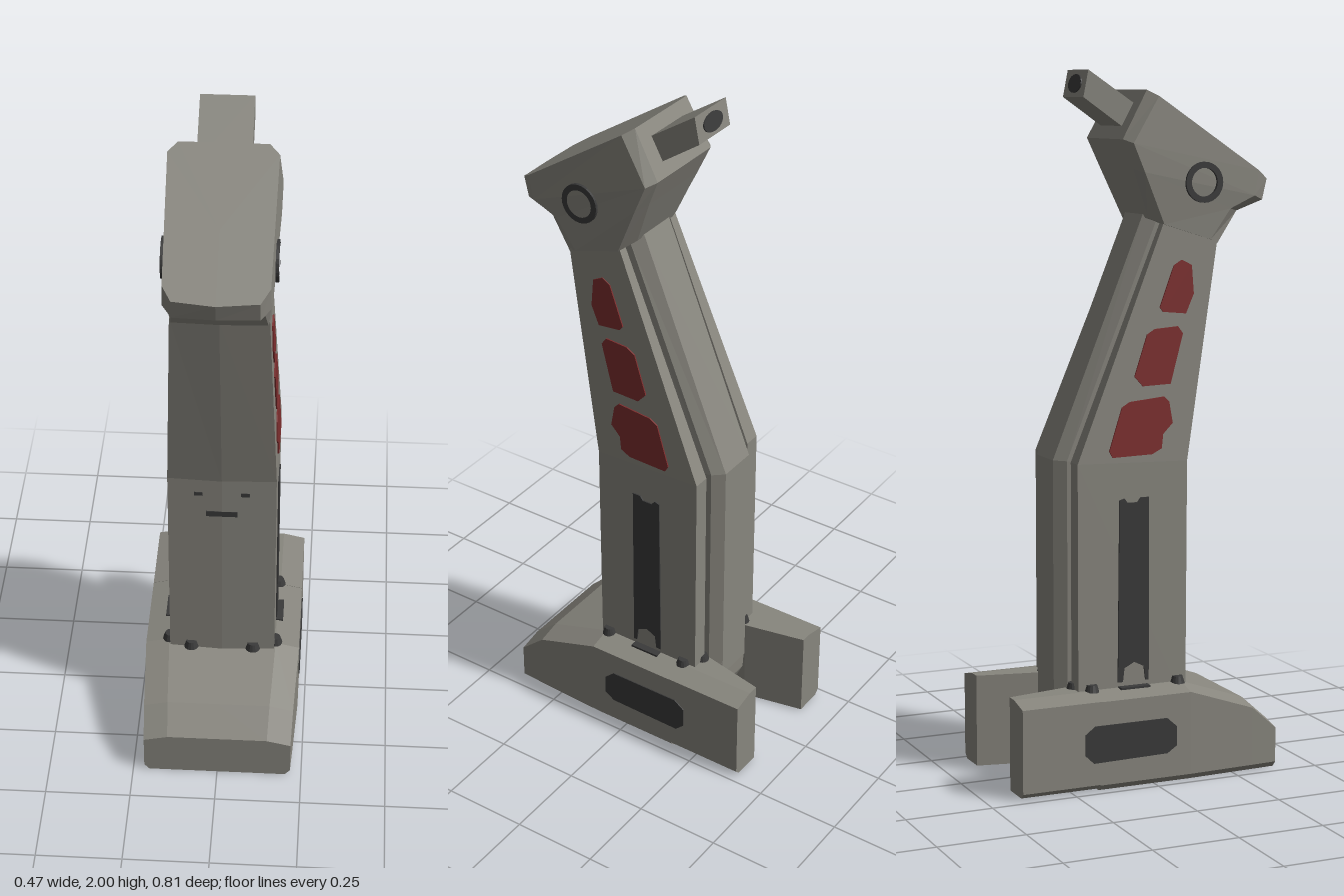
import * as THREE from 'three';

const material = (name, color, extra = {}) => {
  const m = new THREE.MeshStandardMaterial({ color, flatShading: true, ...extra });
  m.name = name;
  return m;
};

// Skin a stack of matching rings and cap both ends, always facing outward.
function loft(rings) {
  const n = rings[0].length, tris = [];
  for (let r = 0; r < rings.length - 1; r++) {
    for (let i = 0; i < n; i++) {
      const j = (i + 1) % n;
      const a = rings[r][i], b = rings[r][j], c = rings[r + 1][j], d = rings[r + 1][i];
      tris.push([a, b, c], [a, c, d]);
    }
  }
  [rings[0], rings[rings.length - 1]].forEach((ring, end) => {
    const mid = [0, 1, 2].map(k => ring.reduce((s, p) => s + p[k], 0) / n);
    for (let i = 0; i < n; i++) {
      const a = ring[i], b = ring[(i + 1) % n];
      tris.push(end ? [mid, a, b] : [mid, b, a]);
    }
  });
  let volume = 0;
  for (const [a, b, c] of tris) {
    volume += a[0] * (b[1] * c[2] - b[2] * c[1]) + a[1] * (b[2] * c[0] - b[0] * c[2])
      + a[2] * (b[0] * c[1] - b[1] * c[0]);
  }
  if (volume < 0) tris.forEach(t => t.reverse());
  const geo = new THREE.BufferGeometry();
  geo.setAttribute('position', new THREE.Float32BufferAttribute(tris.flat(2), 3));
  geo.computeVertexNormals();
  return geo;
}

// Complete a half ring that runs from the back round to the front centre.
const mirrorRing = half => [...half, ...half.filter(p => p[0] > 0).map(([x, y, z]) => [-x, y, z]).reverse()];

// Extrude a [z, y] outline sideways, starting at the surface x = faceX(y).
function sidePlate(points, side, depth, faceX, hole) {
  const shape = new THREE.Shape(points.map(([z, y]) => new THREE.Vector2(-side * z, y)));
  if (hole) shape.holes.push(new THREE.Path(hole.map(([z, y]) => new THREE.Vector2(-side * z, y))));
  const geo = new THREE.ExtrudeGeometry(shape, { depth, bevelEnabled: false });
  geo.rotateY(side * Math.PI / 2);
  const p = geo.attributes.position;
  for (let i = 0; i < p.count; i++) p.setX(i, p.getX(i) + side * faceX(p.getY(i)));
  geo.computeVertexNormals();
  return geo;
}

const circle = (z, y, r) => Array.from({ length: 28 }, (_, i) => {
  const a = i / 28 * Math.PI * 2;
  return [z + r * Math.cos(a), y + r * Math.sin(a)];
});

export function createModel() {
  const model = new THREE.Group();
  model.name = 'uprightDevice';
  const grey = material('warm grey', 0x88867e);
  const red = material('dark red', 0x7c2d2d);
  const dark = material('charcoal', 0x3a3a3a);
  const add = (name, geo, mat) => {
    const mesh = new THREE.Mesh(geo, mat);
    mesh.name = name;
    model.add(mesh);
    return mesh;
  };

  // Forked base: a sloping front block and two legs running back
  const blockRing = (z, w, top) => mirrorRing([
    [w - 0.015, 0.003, z], [w, 0.02, z], [w, top - 0.016, z], [w - 0.07, top, z], [0, top, z], 
  ]);
  add('baseFront', loft([
    blockRing(0.387, 0.217, 0.137), blockRing(0.31, 0.221, 0.205),
    blockRing(0.11, 0.23, 0.275), blockRing(-0.17, 0.23, 0.275),
  ]), grey);
  for (const side of [1, -1]) {
    const legRing = (z, inner) => [
      [inner, 0.008], [0.215, 0.008], [0.23, 0.022], [0.23, 0.26], [0.165, 0.275], [inner, 0.275],
    ].map(([x, y]) => [side * x, y, z]);
    add('baseLeg', loft([legRing(-0.16, 0.088), legRing(-0.22, 0.095), legRing(-0.402, 0.132)]), grey);
  }

  // Neck with flanges and a raised spine down its back
  const neckX = y => 0.156 - 0.035 * Math.max(0, y - 0.9);
  const neckRing = (zf, yf, zb, yb) => {
    const at = (x, z) => [x, yf + (yb - yf) * (zf - z) / (zf - zb), z];
    const edge = z => at(neckX(at(0, z)[1]), z);
    return mirrorRing([
      at(0.06, zb), at(0.086, zb + 0.032), at(0.09, zb + 0.06), at(0.1, zb + 0.06),
      at(0.106, zb + 0.035), edge(zb + 0.035), edge(zf), at(0, zf + 0.008),
    ]);
  };
  add('neck', loft([
    neckRing(0.127, 0.2, -0.24, 0.2), neckRing(0.13, 0.91, -0.24, 0.92), neckRing(0.232, 1.53, 0.035, 1.6),
  ]), grey);

  // Tapered spine foot between the legs
  const footRing = (y, zb, w) => [
    [w * 0.7, y, zb], [w, y, zb + 0.032], [w, y, -0.1], [-w, y, -0.1], [-w, y, zb + 0.032], [-w * 0.7, y, zb],
  ];
  add('spineFoot', loft([footRing(0.24, -0.24, 0.086), footRing(0.15, -0.235, 0.084), footRing(0.03, -0.18, 0.07)]), grey);

  // Head with a slanted face plate
  const faceY = z => 1.945 - 0.662 * (z - 0.02);
  add('head', loft([
    [[0.12, 0.02], [0.147, 0.045], [0.14, 0.36], [0.115, 0.396], [0, 0.405]].map(([x, z]) => [x, faceY(z), z]),
    [[0.125, 1.81, -0.055], [0.155, 1.8, -0.035], [0.142, 1.65, 0.345], [0.115, 1.637, 0.382], [0, 1.64, 0.392]],
    [[0.115, 1.73, -0.02], [0.153, 1.72, 0], [0.14, 1.615, 0.27], [0.12, 1.608, 0.298], [0, 1.61, 0.302]],
    [[0.085, 1.59, 0.04], [0.14, 1.575, 0.065], [0.137, 1.53, 0.21], [0.13, 1.52, 0.235], [0, 1.52, 0.24]],
  ].map(mirrorRing)), grey);

  // Stub connector on the back of the head
  add('stub', sidePlate([[-0.135, 2], [-0.15, 1.925], [-0.02, 1.835], [0.03, 1.89]], 1, 0.146, () => -0.073), grey);
  const port = add('stubPort', new THREE.CylinderGeometry(0.026, 0.026, 0.006, 24), dark);
  port.position.set(0, 1.962, -0.143);
  port.rotation.x = -1.37;
  port.scale.x = 1.7;

  // Painted side details
  const redPatches = [
    [[0.15, 1.46], [0.12, 1.475], [0.095, 1.46], [0.05, 1.345], [0.06, 1.332], [0.13, 1.325], [0.155, 1.38]],
    [[0.12, 1.27], [0.105, 1.29], [0.035, 1.285], [0.01, 1.27], [-0.03, 1.155], [-0.005, 1.127], [0.08, 1.13], [0.09, 1.165]],
    [[0.075, 1.08], [0.06, 1.095], [-0.045, 1.085], [-0.07, 1.07], [-0.11, 0.95], [-0.1, 0.932], [0.02, 0.935],
      [0.05, 0.95], [0.055, 0.99], [0.085, 1.02]],
  ];
  const strip = [[0.01, 0.29], [0.01, 0.815], [-0.015, 0.815], [-0.025, 0.802], [-0.055, 0.802], [-0.065, 0.815],
    [-0.08, 0.81], [-0.085, 0.29], [-0.07, 0.29], [-0.065, 0.33], [-0.035, 0.345], [-0.005, 0.33], [0, 0.29]];
  const basePanel = [[0.065, 0.11], [0.065, 0.165], [0.035, 0.192], [-0.185, 0.192], [-0.215, 0.17],
    [-0.215, 0.11], [-0.19, 0.086], [0.035, 0.09]];
  for (const side of [1, -1]) {
    redPatches.forEach(p => add('redPatch', sidePlate(p, side, 0.004, neckX), red));
    add('neckStrip', sidePlate(strip, side, 0.004, neckX), dark);
    add('basePanel', sidePlate(basePanel, side, 0.004, () => 0.229), dark);
    add('eyeRing', sidePlate(circle(0.182, 1.69, 0.057), side, 0.009, () => 0.146, circle(0.182, 1.69, 0.04)), dark);
    // Fasteners around the foot of the neck
    for (const [x, z] of [[0.092, 0.13], [0.158, 0.1], [0.158, -0.165], [0.11, -0.2]]) {
      const bolt = add('bolt', new THREE.CylinderGeometry(0.015, 0.022, 0.022, 14), dark);
      bolt.position.set(side * x, 0.281, z);
    }
    const slot = add('footSlot', new THREE.BoxGeometry(0.028, 0.006, 0.09), dark);
    slot.position.set(side * 0.164, 0.275, -0.038);
    const dot = add('frontMark', new THREE.BoxGeometry(0.025, 0.012, 0.006), dark);
    dot.position.set(side * 0.067, 0.86, 0.133);
  }
  const mark = add('frontMark', new THREE.BoxGeometry(0.09, 0.018, 0.006), dark);
  mark.position.set(0, 0.79, 0.135);

  return model;
}
